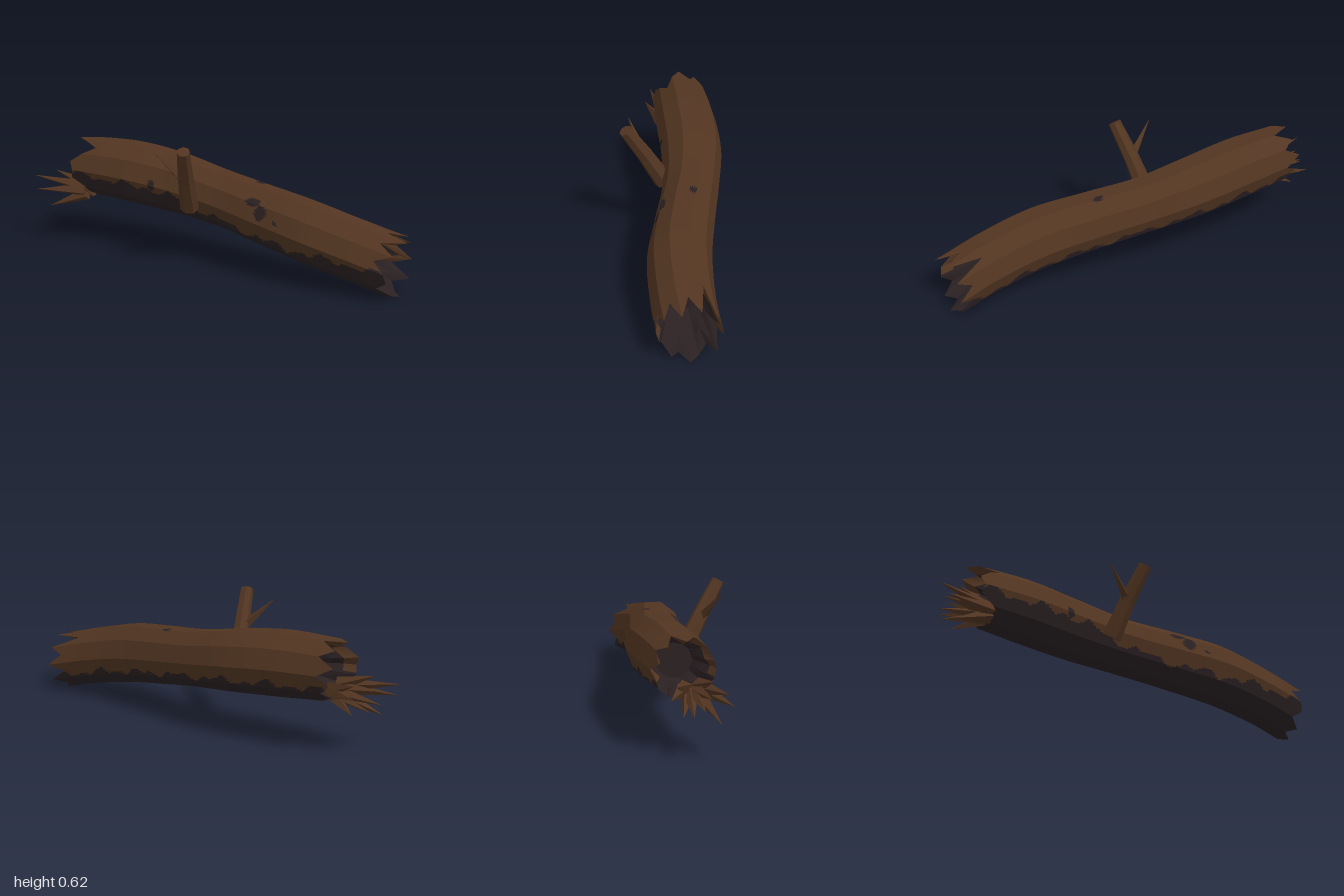
import * as THREE from 'three';

const bark = new THREE.MeshStandardMaterial({ color: 0x523521, side: THREE.DoubleSide });
bark.name = 'brownBark';
const rot = new THREE.MeshStandardMaterial({ color: 0x2a2022, side: THREE.DoubleSide });
rot.name = 'darkRot';

// Trunk profile at even steps from x = -1 to x = 1
const centreY = [0.38, 0.383, 0.375, 0.35, 0.315, 0.28, 0.243, 0.19, 0.133];
const centreZ = [-0.09, -0.1, -0.108, -0.108, -0.08, -0.028, 0.018, 0.026, 0.01];
const radius = [0.135, 0.14, 0.152, 0.148, 0.137, 0.142, 0.148, 0.145, 0.145];
// Height of the dark underside on the front, as a share of the radius
const rotLine = [-0.1, -0.12, -0.15, -0.15, -0.42, -0.5, -0.4, -0.15, 0];
// Torn ends: x at even steps around the trunk, from the front over the top
const leftEdge = [-0.78, -0.8, -0.74, -0.68, -0.76, -0.82, -0.72, -0.8, -0.74, -0.82,
  -0.74, -0.8, -0.75, -0.78, -0.72, -0.77, -0.7, -0.76, -0.72, -0.79];
const rightEdge = [0.92, 0.87, 0.95, 0.88, 0.99, 0.88, 0.97, 0.8, 0.95, 0.88,
  0.95, 0.86, 0.95, 0.88, 0.91, 0.95, 0.89, 0.94, 0.88, 0.93];
// Ragged thickness of the torn rim
const rimScale = [0.9, 0.78, 0.86, 0.74, 0.92, 0.8, 0.88, 0.74, 0.9, 0.8,
  0.92, 0.78, 0.88, 0.74, 0.86, 0.9, 0.76, 0.9, 0.78, 0.86];
const SIDES = 10;
const bumps = [1.03, 1, 1.02, 1.02, 1.02, 1.02, 1, 1, 1, 1.02];

const mix = THREE.MathUtils.lerp;
// Smooth curve through a table
function along(table, x) {
  const t = THREE.MathUtils.clamp((x + 1) * 4, 0, 7.9999), i = Math.floor(t), f = t - i;
  const a = table[i], b = table[i + 1];
  const da = (b - (table[i - 1] ?? a)) / 2, db = ((table[i + 2] ?? b) - a) / 2;
  const f2 = f * f, f3 = f2 * f;
  return a * (2 * f3 - 3 * f2 + 1) + b * (3 * f2 - 2 * f3) + da * (f3 - 2 * f2 + f) + db * (f3 - f2);
}
function around(table, v) {
  const t = v * table.length, i = Math.floor(t);
  return mix(table[i % table.length], table[(i + 1) % table.length], t - i);
}
// Point on the faceted trunk at x, share v of the way round, scaled towards the centre
function trunkPoint(x, v, scale) {
  const t = v * SIDES, i = Math.floor(t), f = t - i;
  const corner = (k) => {
    const a = (k / SIDES) * Math.PI * 2, b = bumps[k % SIDES];
    return [Math.cos(a) * b, Math.sin(a) * b];
  };
  const p = corner(i), q = corner(i + 1), r = along(radius, x) * scale;
  return new THREE.Vector3(x, along(centreY, x) + r * mix(p[1], q[1], f),
    along(centreZ, x) + r * 0.97 * mix(p[0], q[0], f));
}

// Grid surface with each cell put in the bark or the rot group
function sheet(name, nu, nv, point, isRot) {
  const lists = [[], []];
  for (let i = 0; i < nu; i++) for (let j = 0; j < nv; j++) {
    const a = point(i, j), b = point(i + 1, j), c = point(i + 1, j + 1), d = point(i, j + 1);
    const mid = a.clone().add(c).multiplyScalar(0.5);
    const list = lists[isRot(mid, i) ? 1 : 0];
    for (const p of [a, b, d, b, c, d]) list.push(p.x, p.y, p.z);
  }
  const g = new THREE.BufferGeometry();
  g.setAttribute('position', new THREE.Float32BufferAttribute(lists[0].concat(lists[1]), 3));
  g.addGroup(0, lists[0].length / 3, 0);
  g.addGroup(lists[0].length / 3, lists[1].length / 3, 1);
  g.computeVertexNormals();
  const m = new THREE.Mesh(g, [bark, rot]);
  m.name = name;
  return m;
}

// Dark patches: x, y, z, half length, half width
const patches = [[0.24, 0.37, 0.08, 0.04, 0.024], [0.29, 0.325, 0.1, 0.034, 0.036],
  [0.378, 0.29, 0.12, 0.02, 0.016], [0.21, 0.425, -0.07, 0.022, 0.02], [-0.33, 0.36, 0.04, 0.016, 0.03]];
// Height above the trunk's axis, from -1 at the bottom to 1 at the top
const level = (p) => (p.y - along(centreY, p.x)) / along(radius, p.x);
function isRotten(p) {
  const line = p.z > along(centreZ, p.x) ? along(rotLine, p.x) : -0.45;
  const wave = 0.08 * Math.sin(p.x * 23) + 0.07 * Math.sin(p.x * 51 + 1) + 0.02 * Math.sin(p.x * 97);
  return level(p) < line + wave || patches.some(([x, y, z, w, h]) =>
    ((p.x - x) / w) ** 2 + ((p.y - y) ** 2 + (p.z - z) ** 2) / (h * h) < 1);
}

// Tapered low-poly stick between two points
function stick(name, from, to, r0, r1, sides) {
  const a = new THREE.Vector3(...from), b = new THREE.Vector3(...to), dir = b.clone().sub(a);
  const g = new THREE.CylinderGeometry(r1, r0, dir.length(), sides).toNonIndexed();
  g.computeVertexNormals();
  const m = new THREE.Mesh(g, bark);
  m.name = name;
  m.position.copy(a).add(b).multiplyScalar(0.5);
  m.quaternion.setFromUnitVectors(new THREE.Vector3(0, 1, 0), dir.normalize());
  return m;
}

export function createModel() {
  const log = new THREE.Group();
  log.name = 'hollowLog';

  // Outer bark
  const NU = 200, NV = 100;
  log.add(sheet('trunk', NU, NV, (i, j) => {
    const v = j / NV;
    return trunkPoint(mix(around(leftEdge, v), around(rightEdge, v), i / NU), v, 1);
  }, isRotten));

  // Splintered rim, hollow wall and inner floor at each end
  for (const [name, edge, inward] of [['leftHollow', leftEdge, 1], ['rightHollow', rightEdge, -1]]) {
    const floor = inward > 0 ? -0.6 : 0.72;
    log.add(sheet(name, 3, NV, (i, j) => {
      const v = j / NV, e = around(edge, v);
      const x = [e, e + inward * 0.06, floor, floor][i];
      return trunkPoint(x, v, [1, around(rimScale, v), 0.55, 0][i]);
    }, (p, i) => i > 0 || level(p) < -0.25));
  }

  // Branch with a side twig
  log.add(stick('branch', [-0.113, 0.285, 0.04], [-0.082, 0.45, 0.132], 0.047, 0.038, 7));
  log.add(stick('branchTop', [-0.084, 0.44, 0.126], [-0.043, 0.605, 0.225], 0.039, 0.031, 7));
  log.add(stick('twig', [-0.085, 0.44, 0.135], [-0.22, 0.58, 0.2], 0.026, 0.001, 4));

  // Torn splinters below the left end
  const tips = [[-1, 0.33, 0.04], [-0.97, 0.27, 0.07], [-0.92, 0.18, 0.03], [-0.96, 0.25, -0.05],
    [-0.88, 0.34, -0.15], [-0.93, 0.22, -0.09], [-0.9, 0.36, 0], [-0.86, 0.2, -0.12],
    [-0.95, 0.3, -0.02], [-0.9, 0.29, -0.18]];
  const splinters = new THREE.Group();
  splinters.name = 'splinters';
  for (const t of tips) {
    const base = [-0.73, mix(0.28, t[1], 0.25), mix(-0.045, t[2], 0.4)];
    splinters.add(stick('splinter', base, t, 0.034, 0.001, 4));
  }
  log.add(splinters);
  return log;
}
